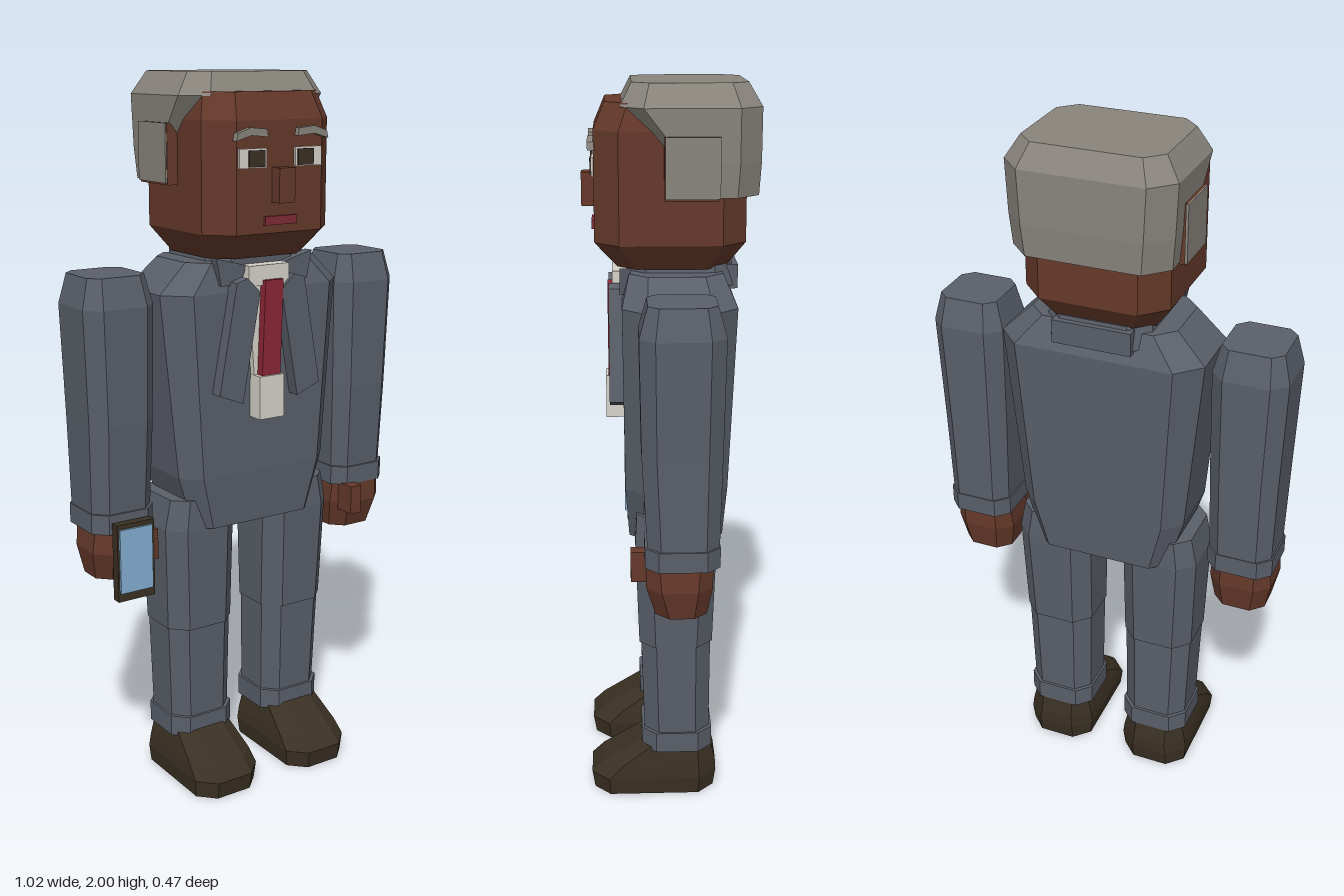
import * as THREE from 'three';

const mat = (name, color) => {
  const m = new THREE.MeshStandardMaterial({ color, flatShading: true });
  m.name = name;
  return m;
};

export function createModel() {
  const root = new THREE.Group();
  root.name = 'suitedMan';
  const suit = mat('suitGrey', 0x5a5f69), skin = mat('skinBrown', 0x65392a);
  const hair = mat('hairGrey', 0x89857d), shoe = mat('shoeBrown', 0x3a3023);
  const white = mat('shirtWhite', 0xd6d2ca), red = mat('tieRed', 0x8a2635);
  const blue = mat('screenBlue', 0x84afd3), lip = mat('lipRed', 0x7c2a35);

  const add = (name, geo, m, parent = root) => {
    const mesh = new THREE.Mesh(geo, m);
    mesh.name = name;
    parent.add(mesh);
    return mesh;
  };

  // Stack of chamfered rectangles; each section is [y, x0, x1, z0, z1, chamfer]
  const loft = (name, m, sections, parent) => {
    const pos = [], idx = [];
    for (const [y, x0, x1, z0, z1, c] of sections) {
      pos.push(x1, y, z1 - c, x1, y, z0 + c, x1 - c, y, z0, x0 + c, y, z0,
        x0, y, z0 + c, x0, y, z1 - c, x0 + c, y, z1, x1 - c, y, z1);
    }
    for (let s = 0; s < sections.length - 1; s++) {
      for (let i = 0; i < 8; i++) {
        const a = s * 8 + i, b = s * 8 + (i + 1) % 8;
        idx.push(a, b, b + 8, a, b + 8, a + 8);
      }
    }
    const t = (sections.length - 1) * 8;
    for (let i = 1; i < 7; i++) idx.push(0, i + 1, i, t, t + i, t + i + 1);
    const indexed = new THREE.BufferGeometry();
    indexed.setAttribute('position', new THREE.Float32BufferAttribute(pos, 3));
    indexed.setIndex(idx);
    const g = indexed.toNonIndexed();
    g.computeVertexNormals();
    return add(name, g, m, parent);
  };

  // Box given by its limits
  const box = (name, m, x0, x1, y0, y1, z0, z1, parent) => {
    const mesh = add(name, new THREE.BoxGeometry(x1 - x0, y1 - y0, z1 - z0), m, parent);
    mesh.position.set((x0 + x1) / 2, (y0 + y1) / 2, (z0 + z1) / 2);
    return mesh;
  };

  // Flat polygon in x/y, extruded forward from z
  const plate = (name, m, pts, z, depth, parent) => {
    const shape = new THREE.Shape(pts.map(([x, y]) => new THREE.Vector2(x, y)));
    const g = new THREE.ExtrudeGeometry(shape, { depth, bevelEnabled: false });
    return add(name, g.translate(0, 0, z), m, parent);
  };

  // Head and hair
  loft('head', skin, [
    [1.52, -0.15, 0.15, -0.15, 0.14, 0.05],
    [1.59, -0.2, 0.2, -0.2, 0.2, 0.065],
    [1.88, -0.2, 0.2, -0.2, 0.2, 0.065],
    [1.95, -0.18, 0.18, -0.17, 0.17, 0.06],
  ]);
  loft('hair', hair, [
    [1.715, -0.215, 0.215, -0.23, 0.02, 0.06],
    [1.8, -0.222, 0.222, -0.235, 0.02, 0.06],
    [1.94, -0.228, 0.228, -0.235, 0.13, 0.06],
    [2.0, -0.19, 0.19, -0.2, 0.1, 0.045],
  ]);
  loft('neck', skin, [
    [1.46, -0.12, 0.12, -0.12, 0.1, 0.04],
    [1.54, -0.12, 0.12, -0.12, 0.1, 0.04],
  ]);

  // Face
  box('nose', skin, -0.025, 0.025, 1.67, 1.76, 0.19, 0.235);
  box('mouth', lip, -0.05, 0.05, 1.612, 1.635, 0.199, 0.208);
  for (const s of [-1, 1]) {
    const side = s > 0 ? 'left' : 'right';
    const span = (a, b) => (s > 0 ? [a, b] : [-b, -a]);
    box(side + 'EyeWhite', white, ...span(0.045, 0.13), 1.76, 1.81, 0.199, 0.206);
    box(side + 'Pupil', shoe, ...span(0.052, 0.102), 1.763, 1.805, 0.205, 0.21);
    plate(side + 'Eyebrow', hair, [[0.047, 1.838], [0.1, 1.843], [0.145, 1.83],
      [0.14, 1.85], [0.1, 1.863], [0.05, 1.858]].map(([x, y]) => [s * x, y]), 0.197, 0.018);
    box(side + 'Ear', skin, ...span(0.19, 0.232), 1.71, 1.87, -0.12, 0.018);
    box(side + 'Sideburn', hair, ...span(0.229, 0.236), 1.715, 1.87, -0.125, 0.016);
  }

  // Jacket
  loft('jacket', suit, [
    [0.77, -0.195, 0.195, -0.145, 0.115, 0.04],
    [0.92, -0.242, 0.242, -0.155, 0.125, 0.05],
    [1.43, -0.288, 0.288, -0.175, 0.13, 0.065],
    [1.51, -0.205, 0.205, -0.14, 0.11, 0.05],
  ]);
  loft('jacketCollar', suit, [
    [1.47, -0.155, 0.155, -0.175, 0.115, 0.05],
    [1.535, -0.142, 0.142, -0.165, 0.115, 0.05],
  ]);
  box('collarBack', suit, -0.11, 0.11, 1.46, 1.525, -0.182, -0.15);
  for (const s of [-1, 1]) {
    const side = s > 0 ? 'left' : 'right';
    const flip = (pts) => pts.map(([x, y]) => [s * x, y]);
    plate(side + 'Lapel', suit, flip([[0.035, 1.43], [0.075, 1.47], [0.11, 1.46],
      [0.165, 1.16], [0.09, 1.13]]), 0.12, 0.045);
    plate(side + 'CollarFlap', suit, flip([[0.06, 1.5], [0.155, 1.525], [0.14, 1.45],
      [0.08, 1.45]]), 0.105, 0.03);
  }

  // Shirt and tie
  plate('shirtFront', white, [[-0.06, 1.45], [-0.04, 1.19], [0.04, 1.19], [0.06, 1.45]], 0.12, 0.025);
  box('shirtCollar', white, -0.065, 0.065, 1.445, 1.5, 0.105, 0.155);
  box('shirtTail', white, -0.042, 0.038, 1.08, 1.2, 0.12, 0.175);
  plate('tie', red, [[-0.02, 1.46], [-0.03, 1.19], [0.03, 1.19], [0.038, 1.46]], 0.13, 0.038);

  // Limbs, mirrored by their x limits
  for (const s of [-1, 1]) {
    const side = s > 0 ? 'left' : 'right';
    const group = new THREE.Group();
    group.name = side + 'Limbs';
    root.add(group);
    const limb = (name, m, rows) => loft(side + name, m, rows.map(([y, a, b, ...r]) =>
      (s > 0 ? [y, a, b, ...r] : [y, -b, -a, ...r])), group);

    limb('Sleeve', suit, [
      [0.82, 0.313, 0.492, -0.115, 0.07, 0.035],
      [1.1, 0.305, 0.498, -0.122, 0.085, 0.038],
      [1.41, 0.3, 0.508, -0.128, 0.09, 0.04],
      [1.49, 0.32, 0.488, -0.106, 0.068, 0.028],
    ]);
    limb('SleeveCuff', suit, [
      [0.8, 0.308, 0.497, -0.118, 0.078, 0.035],
      [0.855, 0.308, 0.497, -0.118, 0.078, 0.035],
    ]);
    limb('Hand', skin, [
      [0.66, 0.325, 0.475, -0.085, 0.05, 0.035],
      [0.74, 0.312, 0.492, -0.1, 0.075, 0.04],
      [0.81, 0.318, 0.485, -0.1, 0.075, 0.035],
    ]);
    const [t0, t1] = s > 0 ? [0.33, 0.368] : [-0.368, -0.333];
    box(side + 'Thumb', skin, t0, t1, 0.72, 0.805, 0.05, 0.114, group);

    limb('Thigh', suit, [
      [0.47, 0.055, 0.265, -0.115, 0.09, 0.045],
      [0.77, 0.052, 0.275, -0.125, 0.1, 0.045],
      [0.855, 0.062, 0.258, -0.12, 0.095, 0.04],
    ]);
    limb('Shin', suit, [
      [0.14, 0.062, 0.25, -0.108, 0.075, 0.04],
      [0.48, 0.058, 0.262, -0.11, 0.085, 0.042],
    ]);
    limb('TrouserCuff', suit, [
      [0.135, 0.055, 0.258, -0.116, 0.084, 0.04],
      [0.195, 0.055, 0.258, -0.116, 0.084, 0.04],
    ]);
    limb('Shoe', shoe, [
      [0, 0.06, 0.258, -0.122, 0.222, 0.045],
      [0.05, 0.054, 0.263, -0.13, 0.23, 0.05],
      [0.085, 0.058, 0.258, -0.128, 0.195, 0.05],
      [0.155, 0.075, 0.242, -0.11, 0.08, 0.035],
    ]);
  }

  // Phone in the right hand
  box('phoneCase', shoe, -0.46, -0.347, 0.62, 0.838, 0.09, 0.117);
  box('phoneScreen', blue, -0.455, -0.356, 0.645, 0.825, 0.116, 0.124);

  return root;
}
